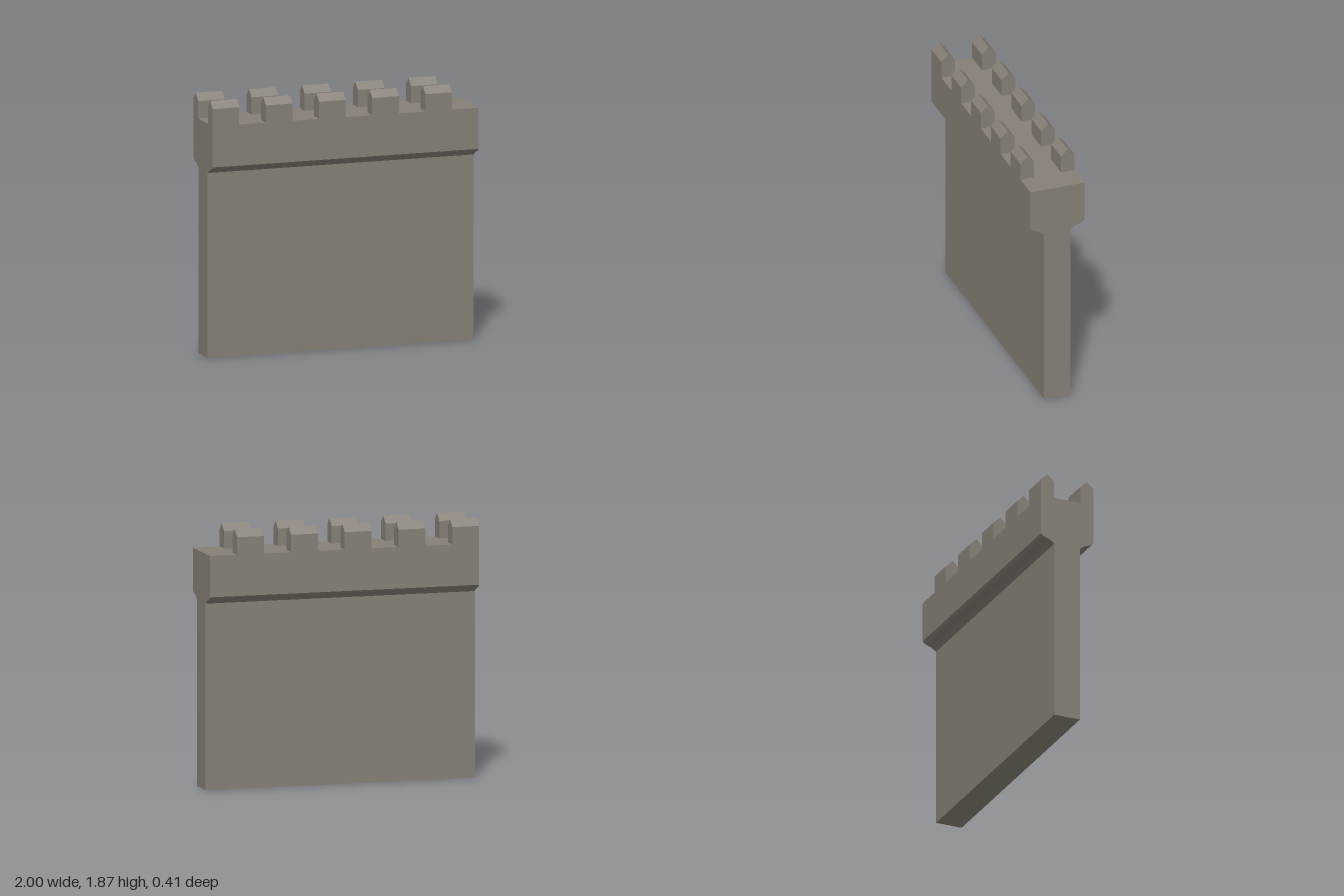
import * as THREE from 'three';

// Extrude a (z, y) outline along x, from x0 over the given length
function extrudeAlongX(points, x0, length) {
  const shape = new THREE.Shape(points.map(([z, y]) => new THREE.Vector2(-z, y)));
  const geo = new THREE.ExtrudeGeometry(shape, { depth: length, bevelEnabled: false });
  geo.rotateY(Math.PI / 2);
  geo.translate(x0, 0, 0);
  return geo;
}

export function createModel() {
  const group = new THREE.Group();
  group.name = 'battlementWall';
  const stone = new THREE.MeshStandardMaterial({ color: 0x857f75 });
  stone.name = 'stone';

  const add = (name, geo) => {
    const mesh = new THREE.Mesh(geo, stone);
    mesh.name = name;
    group.add(mesh);
  };

  // Wall, corbelled out on both faces below the walkway
  const half = [
    [0.1, 0], [0.1, 1.338], [0.139, 1.365], [0.163, 1.371], [0.188, 1.383], [0.205, 1.398], [0.205, 1.695],
  ];
  const mirrored = half.map(([z, y]) => [-z, y]).reverse();
  add('wall', extrudeAlongX([...half, ...mirrored], -1, 2));

  // Two rows of merlons with ridged caps
  for (const side of [1, -1]) {
    const profile = [[0.102, 1.695], [0.205, 1.695], [0.205, 1.82], [0.154, 1.87], [0.102, 1.82]]
      .map(([z, y]) => [z * side, y]);
    for (let i = 0; i < 5; i++) {
      add(side > 0 ? 'frontMerlon' : 'backMerlon', extrudeAlongX(profile, -1 + i * 0.4, 0.2));
    }
  }
  return group;
}
